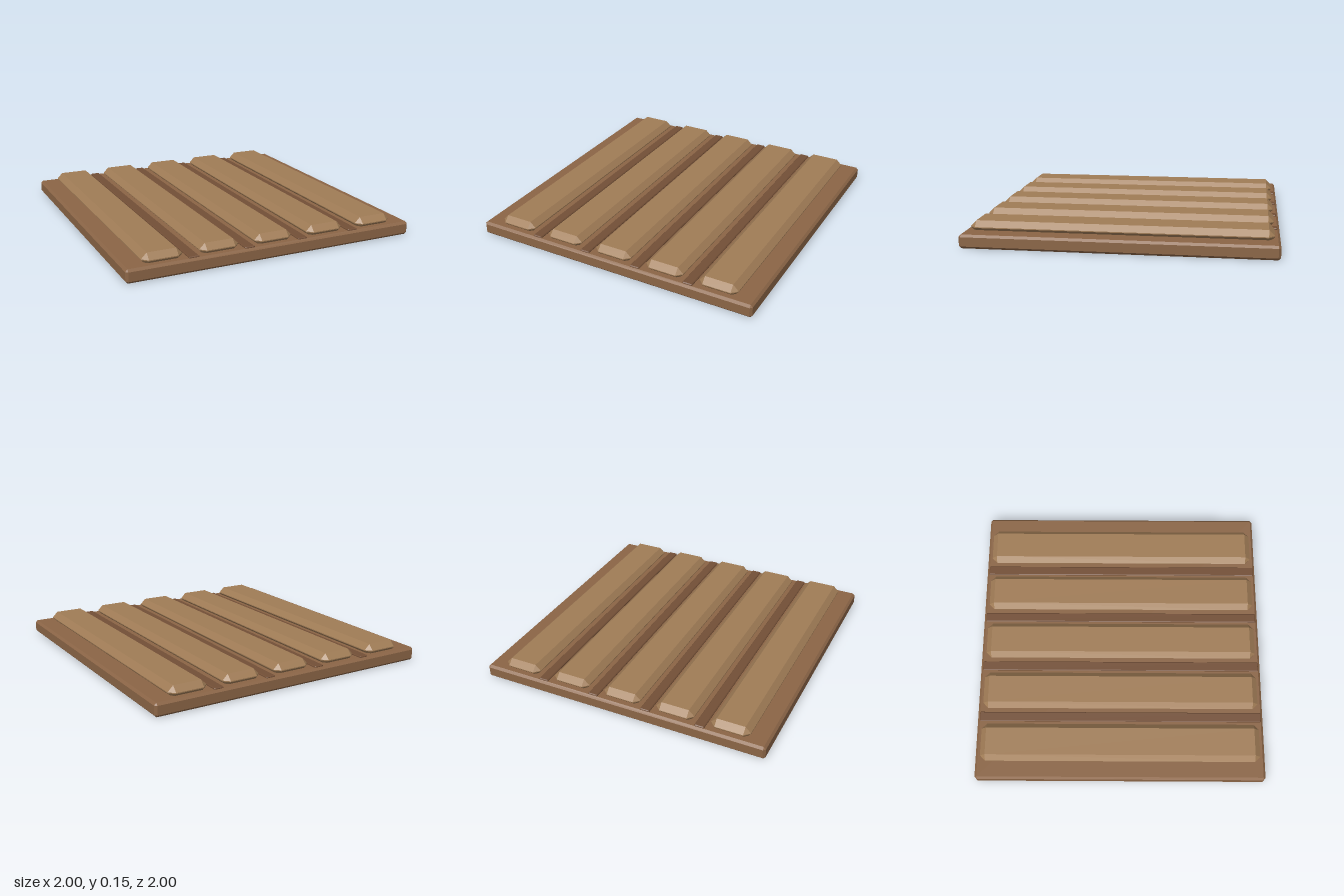
import * as THREE from 'three';
import { ConvexGeometry } from 'three/addons/geometries/ConvexGeometry.js';

// Box with every edge and corner cut flat by c
function chamferedBox(w, h, d, c) {
  const points = [];
  for (const sx of [-1, 1]) for (const sy of [-1, 1]) for (const sz of [-1, 1]) {
    const x = w / 2, y = h / 2, z = d / 2;
    points.push(
      new THREE.Vector3(sx * x, sy * (y - c), sz * (z - c)),
      new THREE.Vector3(sx * (x - c), sy * y, sz * (z - c)),
      new THREE.Vector3(sx * (x - c), sy * (y - c), sz * z),
    );
  }
  return new ConvexGeometry(points);
}

export function createModel() {
  const group = new THREE.Group();
  group.name = 'ribbedPanel';
  const material = (color) => new THREE.MeshStandardMaterial({ color, flatShading: true });
  const baseMat = material(0x8b6546);
  const ribMat = material(0xa07c56);
  const stripMat = material(0x734f36);

  const add = (name, geometry, mat, x, y) => {
    const mesh = new THREE.Mesh(geometry, mat);
    mesh.name = name;
    mesh.position.set(x, y, 0);
    group.add(mesh);
  };

  // Base slab
  add('base', chamferedBox(2, 0.09, 2, 0.015), baseMat, 0, 0.045);

  // Five raised planks, partly sunk into the base
  const spacing = 0.375;
  const ribGeometry = chamferedBox(0.262, 0.08, 1.93, 0.037);
  for (let i = -2; i <= 2; i++) add(`plank${i + 3}`, ribGeometry, ribMat, i * spacing, 0.11);

  // Thin dark strips between the planks
  const stripGeometry = chamferedBox(0.066, 0.03, 1.97, 0.005);
  for (let i = 0; i < 4; i++) add(`strip${i + 1}`, stripGeometry, stripMat, (i - 1.5) * spacing, 0.085);

  return group;
}
